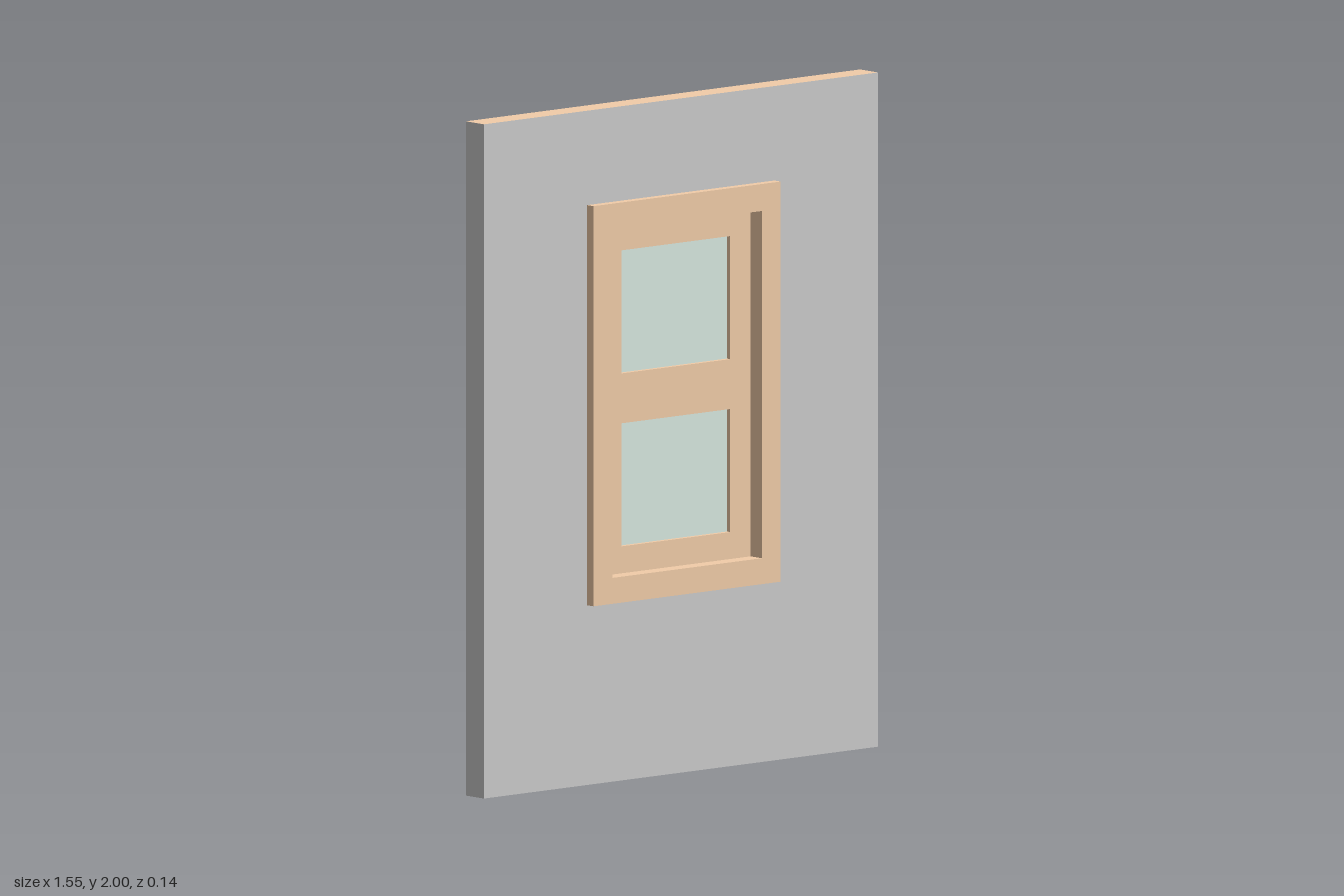
import * as THREE from 'three';

const paint = (color) => new THREE.MeshStandardMaterial({ color });

// Adds a closed rectangle (left, bottom, right, top) to a shape or hole path
function rect(path, [l, b, r, t]) {
  return path.moveTo(l, b).lineTo(r, b).lineTo(r, t).lineTo(l, t).closePath();
}

// Rectangular panel with rectangular holes, centred on z = 0
function panel(name, outer, holes, depth, material) {
  const shape = rect(new THREE.Shape(), outer);
  for (const hole of holes) shape.holes.push(rect(new THREE.Path(), hole));
  const geometry = new THREE.ExtrudeGeometry(shape, { depth, bevelEnabled: false });
  geometry.translate(0, 0, -depth / 2);
  const mesh = new THREE.Mesh(geometry, material);
  mesh.name = name;
  return mesh;
}

export function createModel() {
  const group = new THREE.Group();
  group.name = 'windowWall';

  const grey = paint(0xcccccc);
  const wood = paint(0xf2cda9);
  const backPaint = paint(0x9aaca9);
  const glass = paint(0xd8e9e1);

  const opening = [-0.295, 0.61, 0.293, 1.64];
  const panes = [
    [-0.215, 0.69, 0.213, 1.055],
    [-0.215, 1.203, 0.213, 1.568],
  ];

  // Wall: grey front and ends, painted back, wooden top and bottom
  const wall = panel('wall', [-0.776, 0, 0.776, 2], [opening], 0.08, [grey, backPaint, wood]);
  const normals = wall.geometry.attributes.normal;
  wall.geometry.clearGroups();
  for (let i = 0; i < normals.count; i += 3) {
    const back = normals.getZ(i) < -0.5;
    const level = Math.abs(normals.getY(i)) > 0.5;
    wall.geometry.addGroup(i, 3, back ? 1 : level ? 2 : 0);
  }
  group.add(wall);

  // Casing stands proud of both wall faces and lines the opening
  group.add(panel('casing', [-0.37, 0.533, 0.367, 1.72], [opening], 0.136, wood));

  // Recessed sash with two panes
  group.add(panel('sash', opening, panes, 0.036, wood));
  panes.forEach((pane, i) => {
    group.add(panel(i ? 'upperPane' : 'lowerPane', pane, [], 0.006, glass));
  });

  return group;
}
